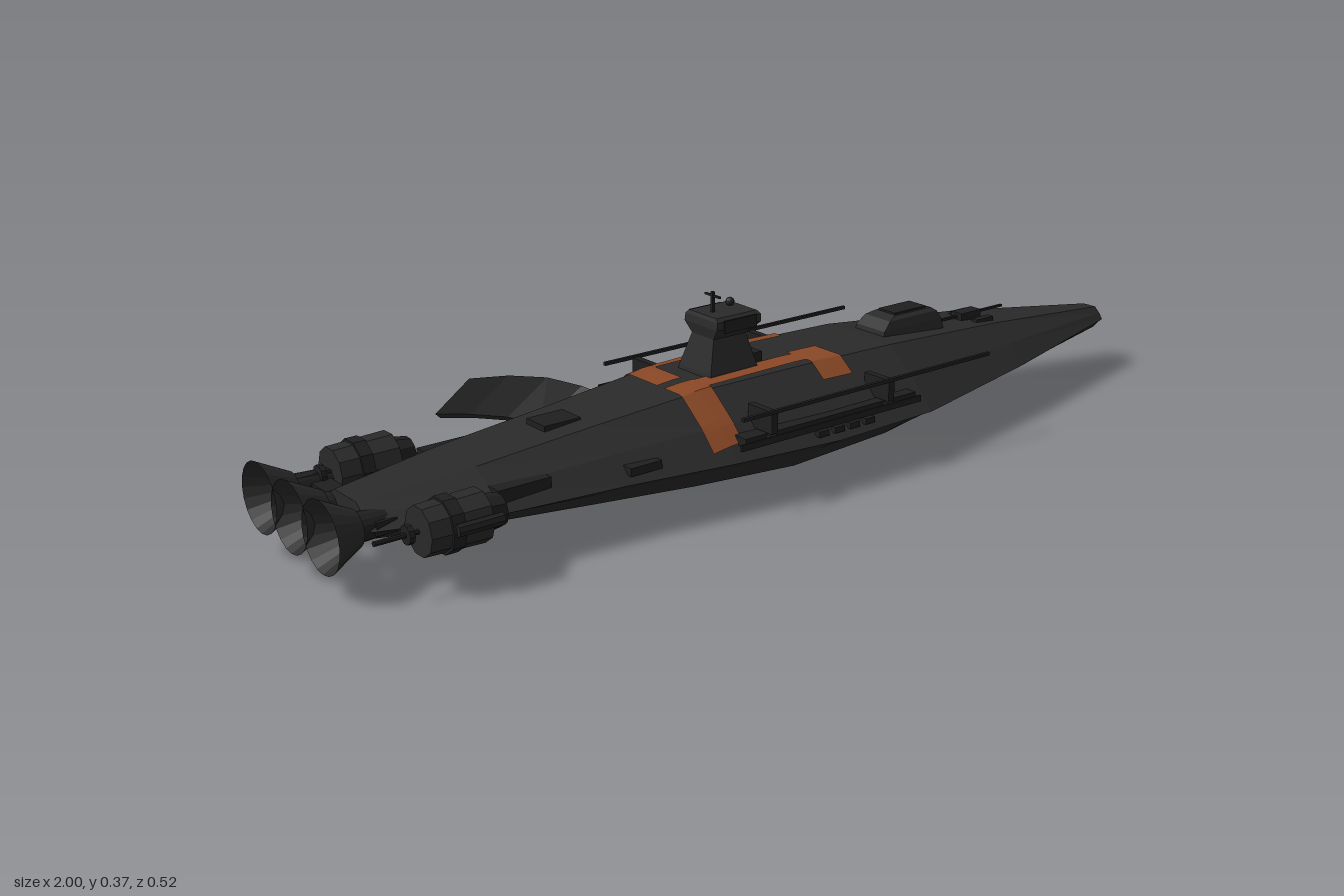
import * as THREE from 'three';

const AXIS = 0.03; // z of the hull's centre line

const mat = (name, color) => {
  const m = new THREE.MeshStandardMaterial({ color, flatShading: true, side: THREE.DoubleSide });
  m.name = name;
  return m;
};

// Hull stations: x, top y, widest y, bottom y, half width
const STATIONS = [
  [-0.92, 0.155, 0.115, 0.08, 0.09],
  [-0.7, 0.174, 0.112, 0.058, 0.155],
  [-0.45, 0.196, 0.108, 0.035, 0.175],
  [-0.22, 0.216, 0.105, 0.017, 0.207],
  [0.02, 0.22, 0.102, 0.003, 0.228],
  [0.27, 0.215, 0.104, 0.015, 0.222],
  [0.62, 0.188, 0.112, 0.052, 0.145],
  [1, 0.145, 0.12, 0.095, 0.04],
];

// Half profile from top centre to bottom centre: [z offset, y]
function profile([, t, m, b, w]) {
  return [
    [0, t], [0.43 * w, t], [0.74 * w, m + 0.53 * (t - m)], [w, m],
    [0.72 * w, m - 0.35 * (m - b)], [0.39 * w, b + 0.06 * (m - b)], [0, b],
  ];
}

// Height of the upper hull skin at a point
function hullTop(x, z) {
  let i = 0;
  while (i < STATIONS.length - 2 && x > STATIONS[i + 1][0]) i++;
  const a = STATIONS[i], b = STATIONS[i + 1], k = (x - a[0]) / (b[0] - a[0]);
  const p = profile(a.map((v, j) => v + (b[j] - v) * k));
  const d = Math.abs(z - AXIS);
  for (let j = 0; j < 3; j++) {
    if (d <= p[j + 1][0]) {
      return p[j][1] + ((p[j + 1][1] - p[j][1]) * (d - p[j][0])) / (p[j + 1][0] - p[j][0]);
    }
  }
  return p[3][1];
}

// Skin between equal-length rings of [x, y, z], closed at both ends
function loft(rings) {
  const pos = [], n = rings[0].length;
  const tri = (...c) => c.forEach((v) => pos.push(...v));
  for (let i = 0; i < rings.length - 1; i++) {
    for (let j = 0; j < n; j++) {
      const k = (j + 1) % n, a = rings[i], b = rings[i + 1];
      tri(a[j], a[k], b[k]);
      tri(a[j], b[k], b[j]);
    }
  }
  const s = rings[0], e = rings[rings.length - 1];
  for (let j = 1; j < n - 1; j++) {
    tri(s[0], s[j + 1], s[j]);
    tri(e[0], e[j], e[j + 1]);
  }
  const g = new THREE.BufferGeometry();
  g.setAttribute('position', new THREE.Float32BufferAttribute(pos, 3));
  g.computeVertexNormals();
  return g;
}

export function createModel() {
  const root = new THREE.Group();
  root.name = 'ship';
  const hullMat = mat('hull charcoal', 0x2a2a2a);
  const darkMat = mat('fitting black', 0x1f1f1f);
  const rustMat = mat('rust orange', 0x8a4826);

  const add = (name, geo, m, x = 0, y = 0, z = 0) => {
    const mesh = new THREE.Mesh(geo, m);
    mesh.name = name;
    mesh.position.set(x, y, z);
    root.add(mesh);
    return mesh;
  };
  // Box given by its limits
  const box = (name, m, x0, x1, y0, y1, z0, z1) =>
    add(name, new THREE.BoxGeometry(x1 - x0, y1 - y0, z1 - z0), m, (x0 + x1) / 2, (y0 + y1) / 2, (z0 + z1) / 2);
  // Cylinder along x; ra is the radius at x0, rb at x1
  const tube = (name, m, x0, x1, ra, rb, y, z, open = false, sides = 16) =>
    add(name, new THREE.CylinderGeometry(ra, rb, x1 - x0, sides, 1, open).rotateZ(Math.PI / 2), m, (x0 + x1) / 2, y, z);

  // Hull
  add('hull', loft(STATIONS.map((s) => {
    const p = profile(s);
    const left = p.map(([d, y]) => [s[0], y, AXIS + d]);
    const right = p.slice(1, -1).reverse().map(([d, y]) => [s[0], y, AXIS - d]);
    return [...left, ...right];
  })), hullMat);

  // Paint patches that follow the hull skin
  const patch = (x0, x1, z0, z1) => {
    const g = new THREE.PlaneGeometry(x1 - x0, z1 - z0, 16, 16).rotateX(-Math.PI / 2);
    g.translate((x0 + x1) / 2, 0, (z0 + z1) / 2);
    const p = g.attributes.position;
    for (let i = 0; i < p.count; i++) p.setY(i, hullTop(p.getX(i), p.getZ(i)) + 0.004);
    g.computeVertexNormals();
    add('paintPatch', g, rustMat);
  };
  patch(-0.2, 0.125, -0.08, -0.045);
  patch(0.08, 0.125, -0.09, -0.08);
  patch(-0.26, -0.2, -0.075, 0.04);
  patch(-0.26, -0.19, 0.062, 0.215);
  patch(-0.19, 0.055, 0.065, 0.112);
  patch(0.055, 0.132, 0.05, 0.165);

  // Command tower, lofted upward
  const slab = (y, x0, x1, h) => [[x1, y, AXIS + h], [x1, y, AXIS - h], [x0, y, AXIS - h], [x0, y, AXIS + h]];
  add('tower', loft([
    slab(0.2, -0.165, -0.035, 0.054), slab(0.225, -0.16, -0.045, 0.05), slab(0.29, -0.14, -0.06, 0.034),
    slab(0.312, -0.145, -0.035, 0.051), slab(0.327, -0.143, -0.035, 0.05), slab(0.334, -0.14, -0.04, 0.043),
  ]), hullMat);
  box('towerStep', darkMat, -0.06, -0.02, 0.21, 0.244, -0.005, 0.065);
  box('bridgeWindow', darkMat, -0.037, -0.031, 0.314, 0.325, -0.01, 0.07);
  box('mast', darkMat, -0.118, -0.112, 0.33, 0.375, 0.027, 0.033);
  box('mastCrossbar', darkMat, -0.117, -0.113, 0.365, 0.369, 0.007, 0.053);
  add('radome', new THREE.SphereGeometry(0.009, 12, 8), darkMat, -0.06, 0.342, 0.015);
  for (const s of [-1, 1]) {
    box('towerSidePanel', darkMat, -0.13, -0.05, 0.305, 0.33, AXIS + s * 0.055 - 0.0015, AXIS + s * 0.055 + 0.0015);
    box('towerBracket', darkMat, -0.1, -0.08, 0.314, 0.32, AXIS + s * 0.052 - 0.004, AXIS + s * 0.052 + 0.004);
  }

  // Forward turret and its gun
  add('turret', loft([
    slab(0.2, 0.3, 0.475, 0.045), slab(0.222, 0.305, 0.47, 0.043),
    slab(0.24, 0.325, 0.46, 0.038), slab(0.247, 0.345, 0.45, 0.03),
  ]), hullMat);
  box('turretHatch', darkMat, 0.35, 0.44, 0.245, 0.251, 0.005, 0.055);
  box('gunMount', darkMat, 0.56, 0.62, 0.18, 0.208, 0.015, 0.045);
  box('gunBarrel', darkMat, 0.47, 0.7, 0.197, 0.202, 0.027, 0.033);
  for (const s of [-1, 1]) {
    box('deckBlock', darkMat, 0.58, 0.63, 0.175, 0.197, AXIS + s * 0.035 - 0.008, AXIS + s * 0.035 + 0.008);
  }

  // Mirrored side fittings
  for (const s of [-1, 1]) {
    const strip = (name, x0, x1, y0, y1, d0, d1) => {
      const a = AXIS + s * d0, b = AXIS + s * d1;
      return box(name, darkMat, x0, x1, y0, y1, Math.min(a, b), Math.max(a, b));
    };
    strip('sideLance', -0.22, 0.43, 0.191, 0.198, 0.217, 0.224);
    strip('sideRail', -0.23, 0.23, 0.137, 0.15, 0.227, 0.231);
    for (const x of [-0.15, 0.15]) {
      strip('lanceBracket', x, x + 0.015, 0.15, 0.194, 0.15, 0.221);
      strip('railBracket', x, x + 0.015, 0.14, 0.147, 0.18, 0.229);
    }
    for (let i = 0; i < 4; i++) strip('sideVent', -0.03 + i * 0.04, -0.005 + i * 0.04, 0.116, 0.128, 0.19, 0.221);
    strip('sideArmour', -0.2, 0.24, 0.13, 0.148, 0.16, 0.205);
    strip('rearPanel', -0.7, -0.59, 0.12, 0.15, 0.1, 0.14);
    strip('sideHatch', -0.44, -0.37, 0.122, 0.138, 0.13, 0.172);
  }
  box('deckHatch', darkMat, -0.53, -0.45, 0.18, 0.2, 0, 0.06);

  // Engine pods beside the stern
  for (const [y, z, s] of [[0.138, -0.13, -1], [0.122, 0.18, 1]]) {
    tube('pod', hullMat, -0.865, -0.745, 0.046, 0.05, y, z, false, 10);
    tube('podNeck', darkMat, -0.745, -0.705, 0.036, 0.03, y, z, false, 10);
    tube('podRing', darkMat, -0.825, -0.8, 0.052, 0.052, y, z, false, 10);
    tube('podPipe', darkMat, -0.95, -0.86, 0.005, 0.005, y, z, false, 8);
    tube('podFlange', darkMat, -0.89, -0.88, 0.018, 0.018, y, z, false, 10);
    tube('podTank', darkMat, -0.82, -0.73, 0.012, 0.012, y + 0.005, z + s * 0.05, false, 8);
  }

  // Three main engine bells
  for (const z of [-0.14, -0.025, 0.09]) {
    tube('engineBell', hullMat, -1, -0.935, 0.068, 0.034, 0.118, z, true, 20);
    tube('engineThroat', darkMat, -0.945, -0.86, 0.028, 0.024, 0.118, z);
  }
  box('engineBeam', darkMat, -0.91, -0.87, 0.105, 0.13, -0.14, 0.12);

  // Single curved fin on the right: z, leading x, y, trailing x, y
  const T = 0.005;
  add('fin', loft([
    [-0.12, -0.26, 0.15, -0.36, 0.09], [-0.17, -0.285, 0.163, -0.385, 0.103],
    [-0.21, -0.34, 0.182, -0.435, 0.12], [-0.24, -0.41, 0.193, -0.5, 0.132], [-0.262, -0.487, 0.197, -0.566, 0.141],
  ].map(([z, lx, ly, tx, ty]) => [
    [lx - T, ly + T, z], [lx + T, ly - T, z], [tx + T, ty - T, z], [tx - T, ty + T, z],
  ])), hullMat);

  return root;
}
